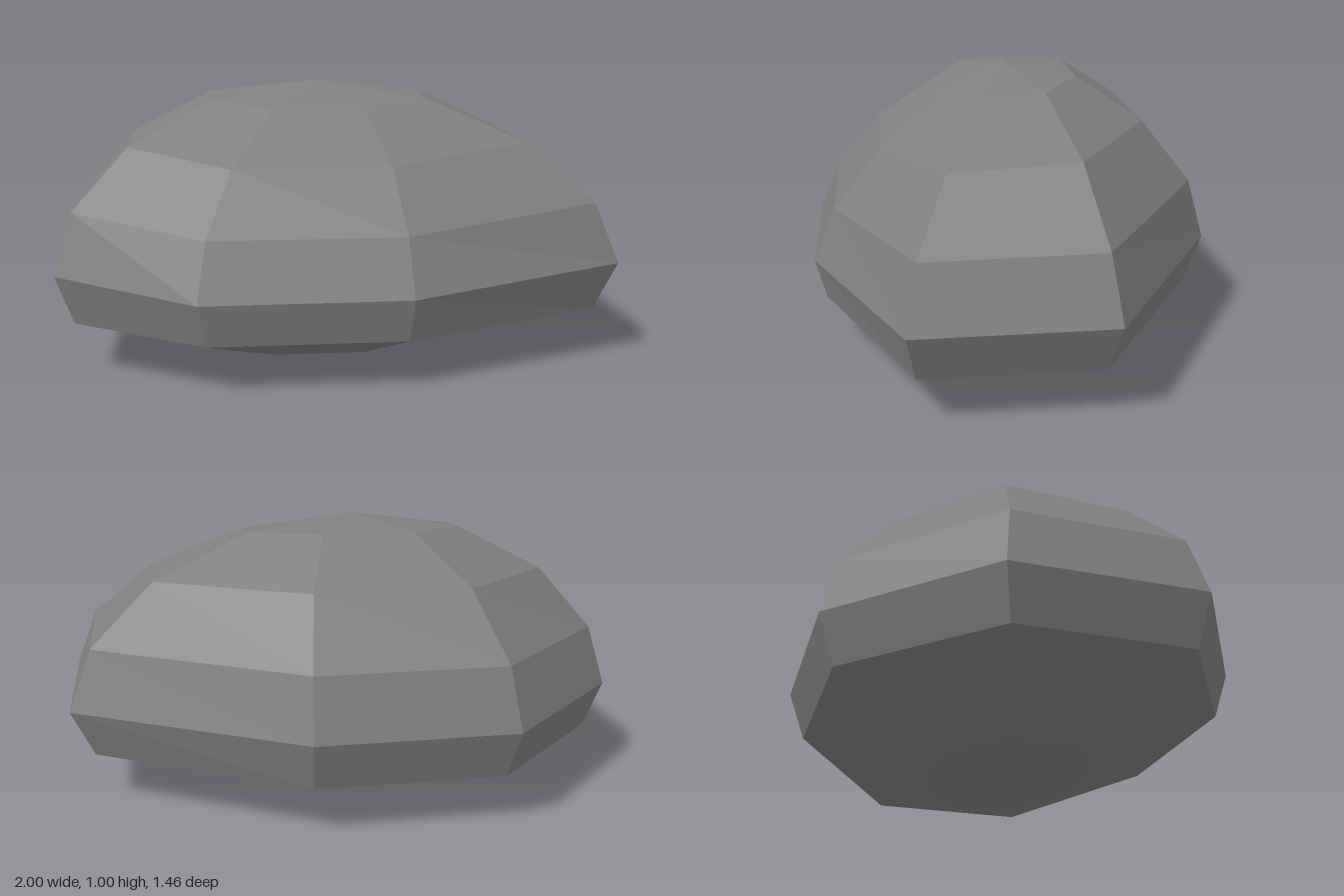
import * as THREE from 'three';

// Cross-section rings from bottom to top:
// left x, front/back edge x (left, right), right x,
// z of back, side-back, side-front, front, then y of the same four.
const RINGS = [
  [-0.06, -0.06, -0.06, -0.06, 0.05, 0.05, 0.05, 0.05, 0, 0, 0, 0],
  [-0.45, -0.24, 0.09, 0.34, -0.24, -0.08, 0.18, 0.32, 0.02, 0.02, 0.02, 0.02],
  [-0.94, -0.48, 0.19, 0.92, -0.67, -0.22, 0.39, 0.69, 0.18, 0.18, 0.18, 0.17],
  [-1, -0.51, 0.2, 1, -0.73, -0.25, 0.42, 0.73, 0.355, 0.355, 0.355, 0.32],
  [-0.94, -0.48, 0.19, 0.92, -0.67, -0.22, 0.38, 0.65, 0.575, 0.575, 0.57, 0.515],
  [-0.75, -0.39, 0.16, 0.69, -0.49, -0.17, 0.27, 0.48, 0.805, 0.80, 0.78, 0.725],
  [-0.45, -0.24, 0.09, 0.34, -0.25, -0.1, 0.13, 0.26, 0.965, 0.955, 0.935, 0.905],
  [-0.06, -0.06, -0.06, -0.06, 0.01, 0.01, 0.01, 0.01, 1, 1, 1, 1],
];

// Eight corners of a ring, going round from the back left edge
function ringPoints([xl, x0, x1, xr, zb, zsb, zsf, zf, yb, ysb, ysf, yf]) {
  return [
    [x0, yb, zb], [x1, yb, zb], [xr, ysb, zsb], [xr, ysf, zsf],
    [x1, yf, zf], [x0, yf, zf], [xl, ysf, zsf], [xl, ysb, zsb],
  ];
}

// Faceted skin between neighbouring rings; the end rings are single points
function rockGeometry() {
  const rings = RINGS.map(ringPoints);
  const last = rings.length - 2;
  const positions = [];
  for (let r = 0; r <= last; r++) {
    for (let i = 0; i < 8; i++) {
      const j = (i + 1) % 8;
      const a = rings[r][i], b = rings[r][j];
      const c = rings[r + 1][i], d = rings[r + 1][j];
      if (r < last) positions.push(...a, ...c, ...d);
      else positions.push(...a, ...c, ...b);
      if (r > 0 && r < last) positions.push(...a, ...d, ...b);
    }
  }
  const geometry = new THREE.BufferGeometry();
  geometry.setAttribute('position', new THREE.Float32BufferAttribute(positions, 3));
  geometry.computeVertexNormals();
  return geometry;
}

export function createModel() {
  const stone = new THREE.MeshStandardMaterial({ color: 0x808080 });
  stone.name = 'stoneGrey';
  stone.flatShading = true;

  const rock = new THREE.Mesh(rockGeometry(), stone);
  rock.name = 'rock';

  const model = new THREE.Group();
  model.name = 'boulder';
  model.add(rock);
  return model;
}
